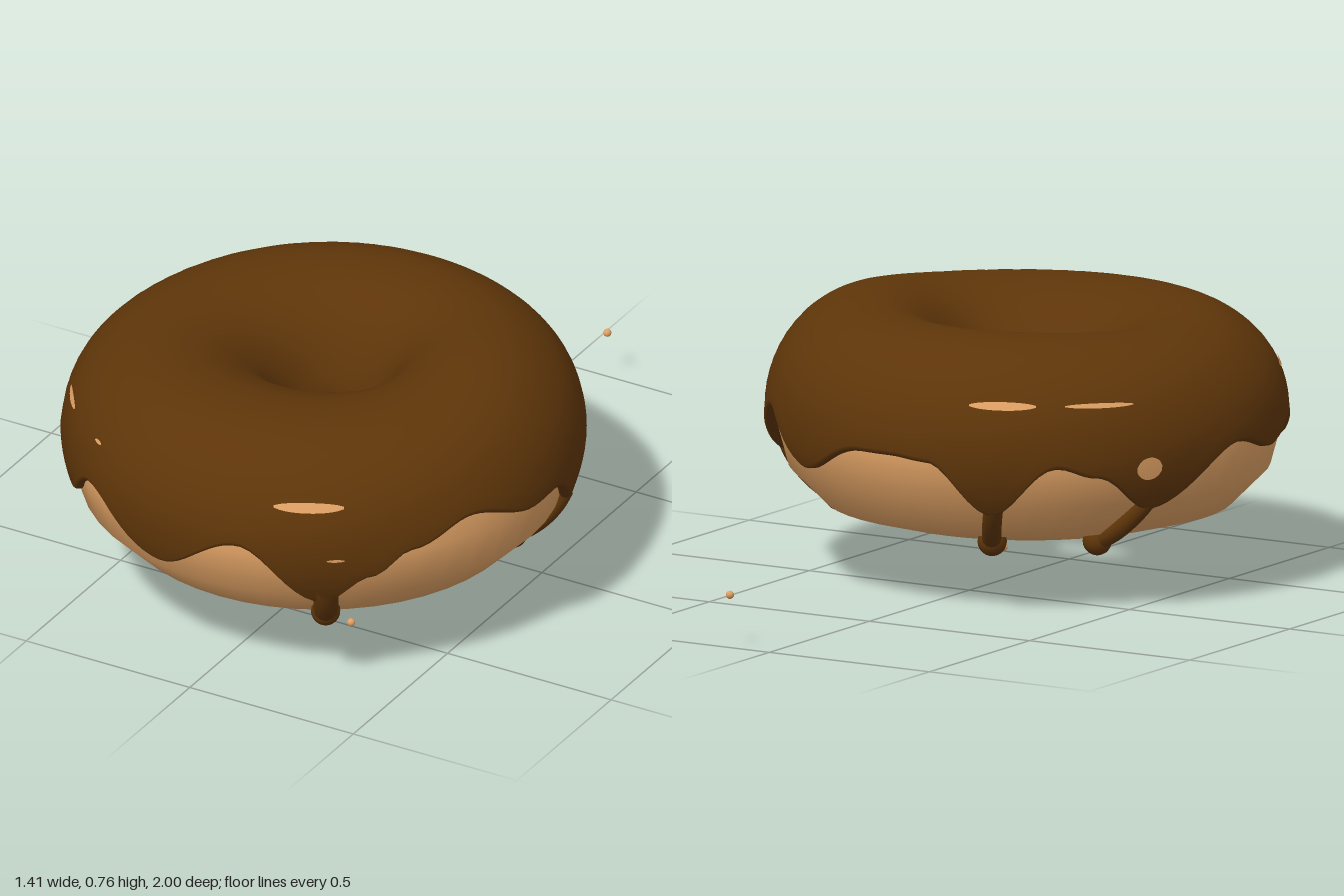
import * as THREE from 'three';

const RING = 0.41, MID_Y = 0.43, CENTRE_Z = 0.3, DOUGH_R = 0.265, ICING_R = 0.29, RAISE = 0.018;
const rad = THREE.MathUtils.degToRad;

// Point on the ring: phi runs round the ring from the front, a round the tube, d is the tube radius
function ringPoint(phi, a, d, lift = 0) {
  const r = RING + d * Math.cos(a);
  const shift = -0.05 * Math.min(1, Math.max(0, (RING - r) / DOUGH_R));
  return new THREE.Vector3(r * Math.sin(phi), MID_Y + d * Math.sin(a) + lift, CENTRE_Z + shift + r * Math.cos(phi));
}

// Smooth grid surface; fn(u, v) with u round the ring and v round the tube
function gridSurface(fn, nu, nv, wrapU, wrapV) {
  const cols = wrapU ? nu : nu + 1, rows = wrapV ? nv : nv + 1;
  const pos = [], idx = [];
  for (let i = 0; i < cols; i++)
    for (let j = 0; j < rows; j++) pos.push(...fn(i / nu, j / nv, j).toArray());
  for (let i = 0; i < nu; i++)
    for (let j = 0; j < nv; j++) {
      const i1 = (i + 1) % cols, j1 = (j + 1) % rows;
      const a = i * rows + j, b = i1 * rows + j, c = i1 * rows + j1, d = i * rows + j1;
      idx.push(a, b, c, a, c, d);
    }
  const g = new THREE.BufferGeometry();
  g.setAttribute('position', new THREE.Float32BufferAttribute(pos, 3));
  g.setIndex(idx);
  g.computeVertexNormals();
  return g;
}

// Height of the wavy lower icing edge at each angle in degrees
const EDGE = [
  [-180, 0.43], [-171, 0.42], [-157, 0.28], [-142, 0.41], [-133, 0.38], [-119, 0.28], [-95, 0.43],
  [-79, 0.385], [-64, 0.43], [-48, 0.34], [-33, 0.455], [-10, 0.335], [11, 0.455], [30, 0.28],
  [41, 0.37], [50, 0.44], [65, 0.495], [84, 0.435], [92, 0.44], [110, 0.305], [134, 0.47],
  [152, 0.345], [172, 0.43], [180, 0.43],
];
function edgeHeight(deg) {
  let k = 0;
  while (k < EDGE.length - 2 && deg > EDGE[k + 1][0]) k++;
  const [x0, y0] = EDGE[k], [x1, y1] = EDGE[k + 1];
  const t = (deg - x0) / (x1 - x0);
  return y0 + (y1 - y0) * (1 - Math.cos(Math.PI * t)) / 2;
}

// Soft bump of 1 at the given angle
const bump = (phi, deg, tightness) => Math.exp(-tightness * (1 - Math.cos(phi - rad(deg))));

// Icing surface with a swell on one side and gently uneven outer and inner outlines
function icingPoint(phi, a, d = ICING_R) {
  const up = Math.max(0, Math.sin(a)), out = Math.max(0, Math.cos(a)), inner = Math.max(0, -Math.cos(a));
  const lift = up * (0.005 + 0.03 * bump(phi, 105, 5) - 0.017 * bump(phi, -85, 3)) + RAISE * out;
  const uneven = out * (0.012 * bump(phi, -165, 3) - 0.012 * bump(phi, -53, 8))
    - inner * 0.01 * Math.cos(2 * (phi - rad(100)));
  return ringPoint(phi, a, d + uneven, lift);
}

export function createModel() {
  const group = new THREE.Group();
  const dough = new THREE.MeshStandardMaterial({ color: 0xdfa164 });
  dough.name = 'golden dough';
  const icing = new THREE.MeshStandardMaterial({ color: 0x5e3509, side: THREE.DoubleSide });
  icing.name = 'chocolate icing';

  const add = (name, geometry, material, position) => {
    const m = new THREE.Mesh(geometry, material);
    m.name = name;
    if (position) m.position.copy(position);
    group.add(m);
  };

  // Dough ring, with few sides round the tube
  add('doughRing', gridSurface((u, v) => ringPoint(u * 2 * Math.PI, v * 2 * Math.PI, DOUGH_R), 48, 12, true, true), dough);

  // Icing shell, with a rounded lip tucked into the dough at both edges
  const ROWS = 30;
  const lip = [0.25, 0.274, 0.287, 0.293], lipTurn = [0.03, 0, 0.02, 0.06];
  add('icing', gridSurface((u, v, j) => {
    const deg = u * 360 - 180, phi = rad(deg);
    const start = Math.asin((edgeHeight(deg) - MID_Y - RAISE) / ICING_R);
    const end = rad(180 + 4 * Math.sin(3 * phi));
    const step = Math.min(j, ROWS - j);
    let a;
    if (j < 4) a = start + lipTurn[j];
    else if (j > ROWS - 4) a = end - lipTurn[ROWS - j];
    else a = start + 0.06 + (end - start - 0.12) * (j - 3) / (ROWS - 6);
    return icingPoint(phi, a, step < 4 ? lip[step] : ICING_R);
  }, 180, ROWS, true, false), icing);

  // Runs of icing ending in drops: start angle, drop angle, tube angles in degrees, width
  const drips = [
    [31, 31, -22, -53, 0.033], [110, 109, -24, -67, 0.027],
    [-118, -127, -24, -70, 0.025], [-156, -159, -22, -67, 0.026],
  ];
  for (const [phi0, phi1, a0, a1, width] of drips) {
    const pts = [];
    for (let k = 0; k <= 5; k++) {
      const t = k / 5;
      pts.push(ringPoint(rad(phi0 + (phi1 - phi0) * t), rad(a0 + (a1 - a0) * t), 0.264 + 0.006 * t));
    }
    add('drip', new THREE.TubeGeometry(new THREE.CatmullRomCurve3(pts), 20, width, 12), icing);
    add('dripDrop', new THREE.SphereGeometry(0.039, 20, 14), icing, pts[5]);
  }

  // Thin patches of dough showing through the icing: centre, half width, tube angle, half height
  const patches = [
    [-56, 5.5, 26, 2], [-33, 1.5, 27, 1], [27, 8, 27, 2.8], [33, 2, -2, 0.8],
    [-154, 7.5, 26, 2.3], [-132, 8, 26, 1.4], [-121, 3, -9, 6], [70, 8, 149, 3.5],
  ];
  for (const [phi, w, a, h] of patches) {
    add('doughPatch', gridSurface((u, v) => {
      const s = u * 2 - 1;
      const taper = Math.sqrt(Math.max(0.05, 1 - s * s));
      return icingPoint(rad(phi + w * s), rad(a + h * (v * 2 - 1) * taper), ICING_R + 0.003);
    }, 12, 2, false, false), dough);
  }

  // Two loose crumbs
  add('crumb', new THREE.SphereGeometry(0.011, 12, 8), dough, new THREE.Vector3(0.13, 0.14, -0.989));
  add('crumb', new THREE.SphereGeometry(0.011, 12, 8), dough, new THREE.Vector3(0.205, 0.011, 0.5));

  return group;
}
